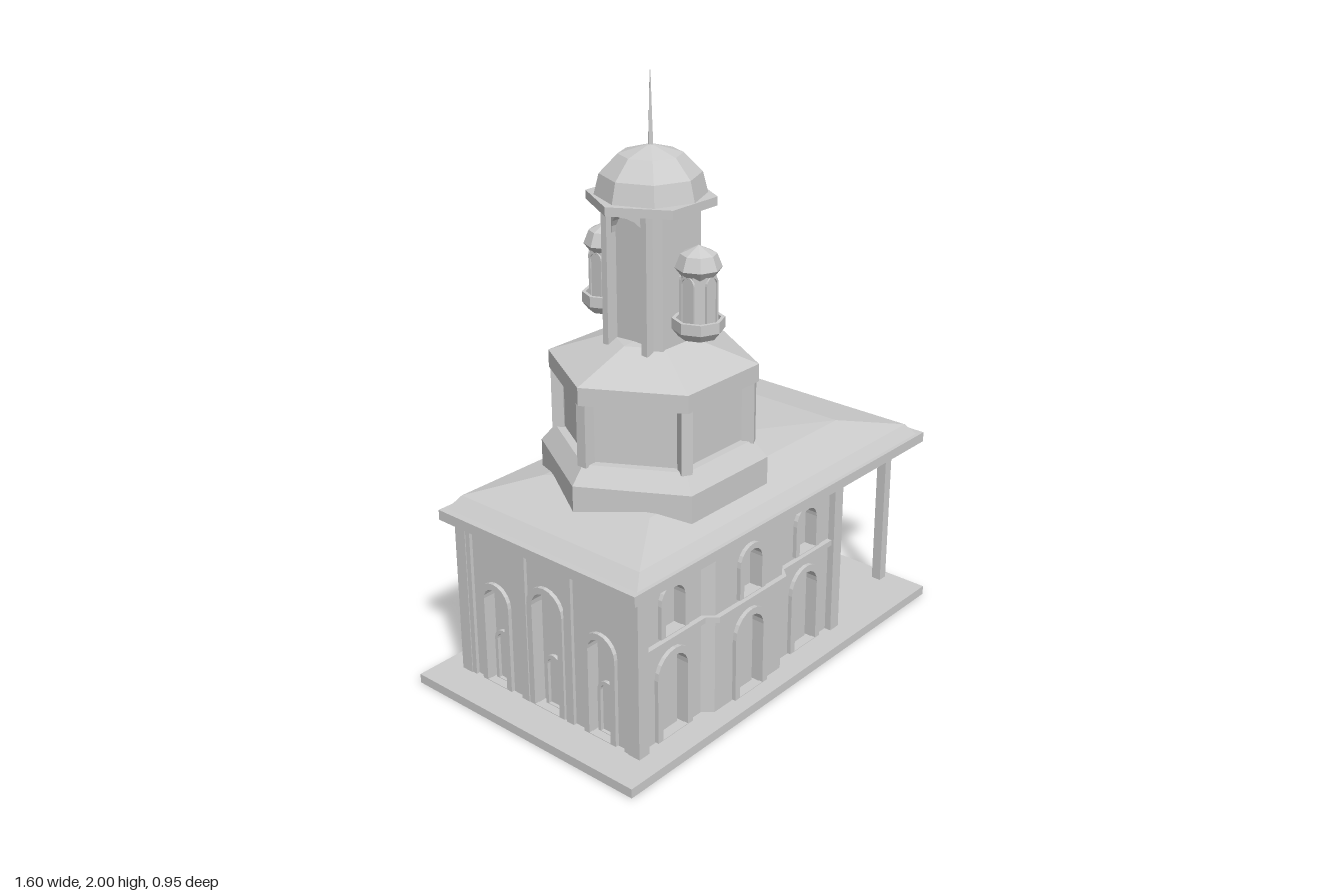
import * as THREE from 'three';

const mat = new THREE.MeshStandardMaterial({ color: 0xcccccc, flatShading: true, side: THREE.DoubleSide });

function add(parent, name, geo, x = 0, y = 0, z = 0) {
  const m = new THREE.Mesh(geo, mat);
  m.name = name;
  m.position.set(x, y, z);
  parent.add(m);
  return m;
}

// box given by its limits
function block(parent, name, x0, x1, y0, y1, z0, z1) {
  return add(parent, name, new THREE.BoxGeometry(x1 - x0, y1 - y0, z1 - z0),
    (x0 + x1) / 2, (y0 + y1) / 2, (z0 + z1) / 2);
}

// stacked polygon rings: profile of [radius, y], corners on the x axis
function prism(parent, name, sides, profile, x = 0, z = 0) {
  const pts = profile.map(([r, y]) => new THREE.Vector2(r, y));
  return add(parent, name, new THREE.LatheGeometry(pts, sides, Math.PI / 2), x, 0, z);
}

// round-headed outline
function arch(Type, cx, y0, hw, top) {
  const p = new Type();
  p.moveTo(cx - hw, y0);
  p.lineTo(cx + hw, y0);
  p.lineTo(cx + hw, top - hw);
  p.absarc(cx, top - hw, hw, 0, Math.PI, false);
  p.closePath();
  return p;
}

function extrude(shape, depth) {
  return new THREE.ExtrudeGeometry(shape, { depth, bevelEnabled: false, curveSegments: 5 });
}

// wall slab with arched openings [cx, y0, halfWidth, top]
function slab(x0, x1, y0, y1, depth, openings = []) {
  const s = new THREE.Shape();
  s.moveTo(x0, y0);
  s.lineTo(x1, y0);
  s.lineTo(x1, y1);
  s.lineTo(x0, y1);
  s.closePath();
  for (const o of openings) s.holes.push(arch(THREE.Path, ...o));
  return extrude(s, depth);
}

// moulding around an arched opening
function surround(cx, y0, hw, top, rim, depth) {
  const s = arch(THREE.Shape, cx, y0, hw + rim, top + rim);
  s.holes.push(arch(THREE.Path, cx, y0 + 0.002, hw, top));
  return extrude(s, depth);
}

// move geometry forward where the middle bay projects
function bend(geo) {
  const p = geo.attributes.position;
  for (let i = 0; i < p.count; i++) {
    const t = THREE.MathUtils.clamp((0.2 - Math.abs(p.getX(i))) / 0.03, 0, 1);
    p.setZ(i, p.getZ(i) + t * 0.033);
  }
  geo.computeVertexNormals();
  return geo;
}

// long facade with projecting middle bay
function makeLongSide() {
  const g = new THREE.Group();
  g.name = 'longFacade';
  const breaks = [-0.5, -0.2, -0.17, 0.17, 0.2, 0.5];
  const centres = [-0.335, null, 0, null, 0.335];
  centres.forEach((c, i) => {
    const a = breaks[i], b = breaks[i + 1];
    const low = [c, 0.035, 0.058, 0.315], high = [c, 0.395, 0.045, 0.553];
    const openings = c === null ? [] : [low, high];
    add(g, 'facadeWall', bend(slab(a, b, 0.03, 0.6, 0.035, openings)), 0, 0, 0.337);
    add(g, 'stringCourse', bend(slab(Math.max(a, -0.465), Math.min(b, 0.465), 0.365, 0.385, 0.02)), 0, 0, 0.37);
    if (c === null) return;
    add(g, 'lowerWindowSurround', bend(surround(...low, 0.024, 0.016)), 0, 0, 0.37);
    add(g, 'upperWindowSurround', bend(surround(...high, 0.02, 0.016)), 0, 0, 0.37);
    add(g, 'windowPanel', bend(slab(c - 0.048, c + 0.048, 0.03, 0.29, 0.012)), 0, 0, 0.337);
  });
  return g;
}

// short facade: tall middle arch with a small door, lower arch on each side
function makeEndWall() {
  const g = new THREE.Group();
  g.name = 'endFacade';
  const arches = [[-0.23, 0.035, 0.045, 0.385], [0, 0.035, 0.055, 0.455], [0.23, 0.035, 0.045, 0.385]];
  add(g, 'endWall', slab(-0.37, 0.37, 0.03, 0.6, 0.035, arches), 0, 0, 0.465);
  for (const a of arches) {
    add(g, 'archSurround', surround(...a, 0.022, 0.016), 0, 0, 0.498);
    add(g, 'doorSurround', surround(a[0], 0.035, 0.025, 0.21, 0.012, 0.012), 0, 0, 0.47);
  }
  for (const s of [-1, 1]) {
    block(g, 'innerPilaster', s * 0.1 - 0.016, s * 0.1 + 0.016, 0.03, 0.6, 0.49, 0.512);
    block(g, 'outerPilaster', s * 0.35 - 0.018, s * 0.35 + 0.018, 0.03, 0.6, 0.49, 0.512);
  }
  return g;
}

// hipped roof from rectangles [x0, x1, halfDepth, y]
function roofGeometry(rows) {
  const pos = [], idx = [];
  for (const [x0, x1, h, y] of rows) pos.push(x0, y, h, x1, y, h, x1, y, -h, x0, y, -h);
  for (let r = 0; r < rows.length - 1; r++) {
    for (let k = 0; k < 4; k++) {
      const a = r * 4 + k, b = r * 4 + (k + 1) % 4;
      idx.push(a, b, b + 4, a, b + 4, a + 4);
    }
  }
  const t = (rows.length - 1) * 4;
  idx.push(t, t + 1, t + 2, t, t + 2, t + 3);
  const g = new THREE.BufferGeometry();
  g.setAttribute('position', new THREE.Float32BufferAttribute(pos, 3));
  g.setIndex(idx);
  const flat = g.toNonIndexed();
  flat.computeVertexNormals();
  return flat;
}

// hexagonal shaft pierced by an arch running along x
function shaftGeometry() {
  const w = 0.115, o = 0.07, y0 = 1.15, y1 = 1.6, spring = 1.51;
  const half = (s) => {
    const p = new THREE.Shape();
    p.moveTo(s * w, y0);
    p.lineTo(s * w, y1);
    p.lineTo(0, y1);
    for (let i = 0; i <= 5; i++) {
      const a = i / 5 * Math.PI / 2;
      p.lineTo(s * o * Math.sin(a), spring + o * Math.cos(a));
    }
    p.lineTo(s * o, y0);
    p.closePath();
    return p;
  };
  const g = extrude([half(1), half(-1)], 2);
  g.translate(0, 0, -1);
  g.rotateY(Math.PI / 2);
  const p = g.attributes.position;
  for (let i = 0; i < p.count; i++) p.setX(i, p.getX(i) * (0.145 - Math.abs(p.getZ(i)) * 0.577));
  g.computeVertexNormals();
  return g;
}

// small octagonal turret with an arch on four of its sides
function makeTurret() {
  const g = new THREE.Group();
  g.name = 'turret';
  prism(g, 'turretBalcony', 8, [[0, 1.205], [0.062, 1.21], [0.082, 1.235], [0.082, 1.27], [0.07, 1.27], [0.07, 1.25], [0, 1.25]]);
  const core = prism(g, 'turretBody', 8, [[0.055, 1.25], [0.055, 1.43]]);
  core.rotation.y = Math.PI / 8;
  for (let i = 0; i < 4; i++) {
    const m = add(g, 'turretArch', surround(0, 1.25, 0.02, 1.405, 0.007, 0.008).translate(0, 0, 0.048));
    m.rotation.y = i * Math.PI / 2;
  }
  prism(g, 'turretRoof', 8, [[0.05, 1.4], [0.073, 1.43], [0.056, 1.473], [0, 1.5]]);
  return g;
}

export function createModel() {
  const model = new THREE.Group();
  model.name = 'chapel';
  const cx = -0.165;

  block(model, 'basePlinth', -0.8, 0.775, 0, 0.032, -0.473, 0.473);

  // main building
  const hall = new THREE.Group();
  hall.name = 'hall';
  hall.position.x = cx;
  model.add(hall);
  block(hall, 'hallCore', -0.468, 0.468, 0.03, 0.6, -0.34, 0.34);
  for (const s of [0, 1]) {
    const side = makeLongSide();
    side.rotation.y = s * Math.PI;
    hall.add(side);
    const end = makeEndWall();
    end.rotation.y = (s - 0.5) * Math.PI;
    hall.add(end);
  }
  for (const x of [-1, 1]) for (const z of [-1, 1]) {
    add(hall, 'cornerPilaster', new THREE.BoxGeometry(0.045, 0.57, 0.045), x * 0.4925, 0.315, z * 0.373);
  }

  // porch
  for (const z of [-0.31, -0.103, 0.103, 0.31]) {
    block(model, 'porchColumn', 0.71, 0.745, 0.03, 0.595, z - 0.0175, z + 0.0175);
  }

  // roof
  block(model, 'eaves', -0.72, 0.797, 0.59, 0.625, -0.422, 0.422);
  add(model, 'hippedRoof', roofGeometry([
    [-0.7, 0.772, 0.412, 0.62], [-0.655, 0.735, 0.382, 0.665],
    [-0.44, 0.53, 0.23, 0.706], [-0.35, 0.2, 0.05, 0.722]]));

  // hexagonal drum
  prism(model, 'drumBase', 6, [[0.373, 0.64], [0.373, 0.775], [0.325, 0.832], [0, 0.832]], cx);
  prism(model, 'drum', 6, [[0.295, 0.82], [0.295, 1.04]], cx);
  for (let i = 0; i < 6; i++) {
    const a = i * Math.PI / 3;
    const m = add(model, 'drumColumn', new THREE.BoxGeometry(0.04, 0.21, 0.036),
      cx + 0.31 * Math.cos(a), 0.93, 0.31 * Math.sin(a));
    m.rotation.y = -a;
  }
  prism(model, 'drumRoof', 6, [[0, 1.033], [0.34, 1.033], [0.34, 1.092], [0.13, 1.165], [0, 1.175]], cx);

  // bell tower
  add(model, 'towerShaft', shaftGeometry(), cx);
  block(model, 'towerCore', cx - 0.085, cx + 0.085, 1.15, 1.6, -0.072, 0.072);
  for (const x of [-1, 1]) for (const z of [-1, 1]) {
    add(model, 'towerPost', new THREE.BoxGeometry(0.03, 0.45, 0.022), cx + x * 0.112, 1.375, z * 0.081);
  }
  prism(model, 'towerCornice', 6, [[0, 1.597], [0.205, 1.597], [0.205, 1.625], [0, 1.625]], cx);
  prism(model, 'towerDome', 8, [[0.175, 1.622], [0.158, 1.69], [0.1, 1.75], [0, 1.78]], cx);
  prism(model, 'spire', 4, [[0.011, 1.77], [0.007, 1.86], [0.002, 2], [0, 2]], cx);

  // turrets on the front and back of the tower
  for (const s of [-1, 1]) {
    const t = makeTurret();
    t.position.set(cx, 0, s * 0.19);
    model.add(t);
  }
  return model;
}
